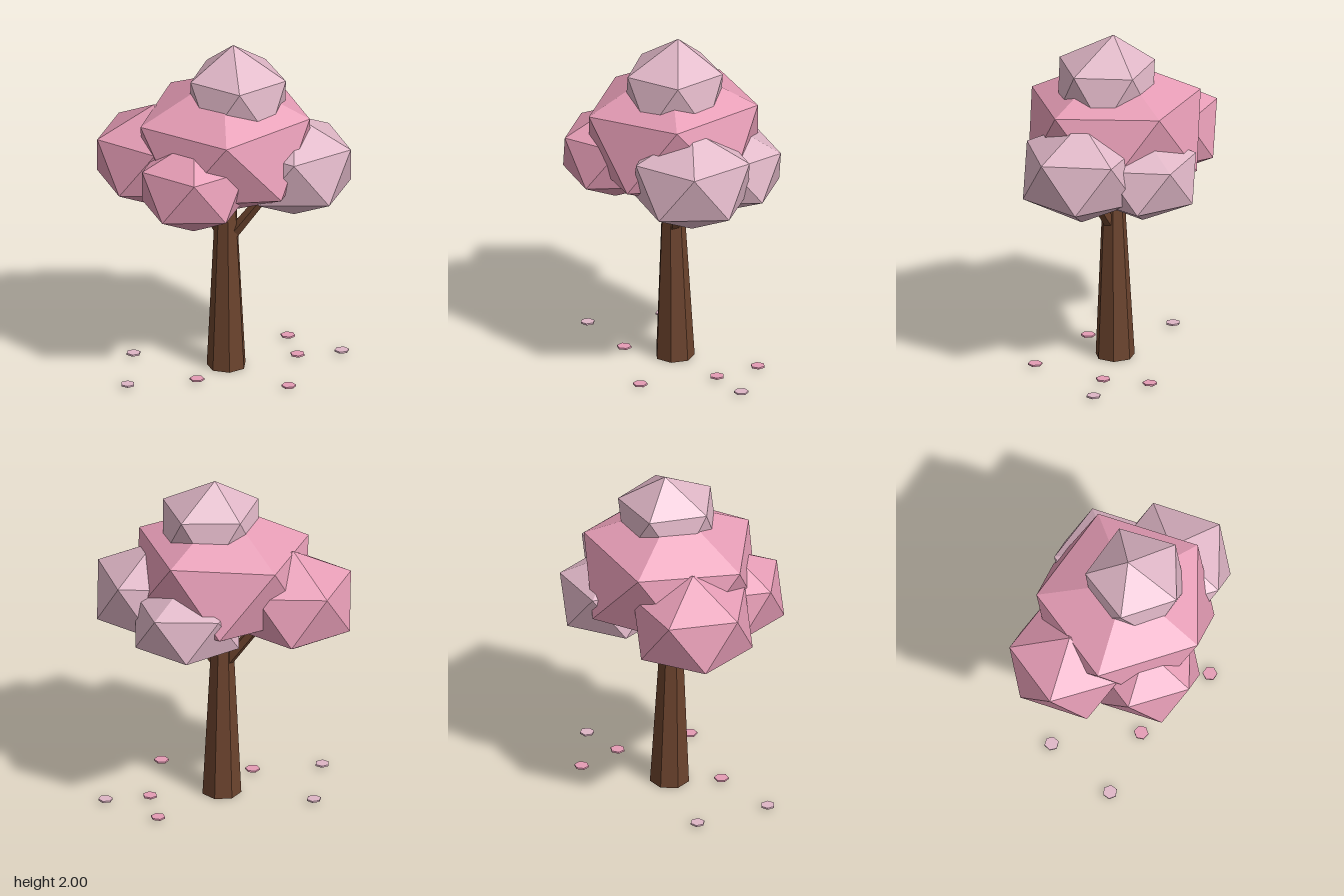
import * as THREE from 'three';

const mat = (name, color) => {
  const m = new THREE.MeshStandardMaterial({ color });
  m.name = name;
  m.flatShading = true;
  return m;
};

export function createModel() {
  const tree = new THREE.Group();
  tree.name = 'blossomTree';
  const bark = mat('bark brown', 0x6b432d);
  const pink = mat('blossom pink', 0xe59cb5);
  const pale = mat('pale blossom', 0xdfb6c6);

  const add = (name, geometry, material) => {
    const mesh = new THREE.Mesh(geometry, material);
    mesh.name = name;
    tree.add(mesh);
    return mesh;
  };

  // Trunk: tapered seven-sided post with a flat side to the front
  const trunkGeo = new THREE.CylinderGeometry(0.061, 0.115, 1.05, 7).rotateY(Math.PI);
  const trunk = add('trunk', trunkGeo, bark);
  trunk.position.set(0.022, 0.526, 0);
  trunk.rotation.x = 0.012;

  // Branches: slim tapered posts between two points
  const branch = (name, from, to) => {
    const a = new THREE.Vector3(...from), b = new THREE.Vector3(...to);
    const dir = b.clone().sub(a);
    const mesh = add(name, new THREE.CylinderGeometry(0.027, 0.037, dir.length(), 5), bark);
    mesh.position.copy(a).addScaledVector(dir, 0.5);
    mesh.quaternion.setFromUnitVectors(new THREE.Vector3(0, 1, 0), dir.normalize());
  };
  branch('leftBranch', [0.065, 0.84, 0], [0.33, 1.2, -0.02]);
  branch('rightBranch', [-0.015, 0.85, 0], [-0.27, 1.2, 0.02]);

  // Foliage: icosahedra standing on a corner, turned and flattened;
  // lean shifts the top corner sideways
  const clump = (name, material, [x, y, z], radius, height, turn, lean = [0, 0]) => {
    const geo = new THREE.IcosahedronGeometry(1, 0);
    geo.rotateZ(-Math.atan(2 / (1 + Math.sqrt(5))));
    geo.rotateY(-THREE.MathUtils.degToRad(turn));
    geo.scale(radius, height, radius);
    const p = geo.attributes.position;
    for (let i = 0; i < p.count; i++) {
      if (p.getY(i) > height * 0.9) p.setXYZ(i, lean[0], height, lean[1]);
    }
    geo.computeVertexNormals();
    const mesh = add(name, geo, material);
    mesh.position.set(x, y, z);
    return mesh;
  };
  const crown = clump('mainFoliage', pink, [0.02, 1.4, 0], 0.572, 0.436, -1);
  crown.rotation.set(0.05, 0, 0.03);
  clump('topFoliage', pale, [0.09, 1.68, 0], 0.322, 0.32, -2, [-0.035, -0.025]);
  clump('rightFoliage', pink, [-0.4, 1.28, 0.04], 0.385, 0.315, 144);
  clump('frontFoliage', pink, [-0.07, 1.25, 0.33], 0.348, 0.285, 143.5);
  clump('leftFoliage', pale, [0.4, 1.27, -0.09], 0.384, 0.31, 0);
  clump('backFoliage', pale, [0.12, 1.22, -0.31], 0.35, 0.27, -72.5);

  // Fallen petals: small six-sided discs
  const petalGeo = new THREE.CylinderGeometry(0.042, 0.042, 0.01, 6);
  [
    [-0.42, 0.475, pale], [-0.525, 0.04, pale], [0.6, -0.365, pale],
    [0.465, 0.21, pink], [-0.065, 0.28, pink], [0.24, -0.475, pink], [0.375, -0.235, pink],
  ].forEach(([x, z, material], i) => {
    const petal = add('fallenPetal' + (i + 1), petalGeo, material);
    petal.position.set(x, 0.02, z);
    petal.rotation.y = i * 0.9 + 0.3;
  });

  return tree;
}
